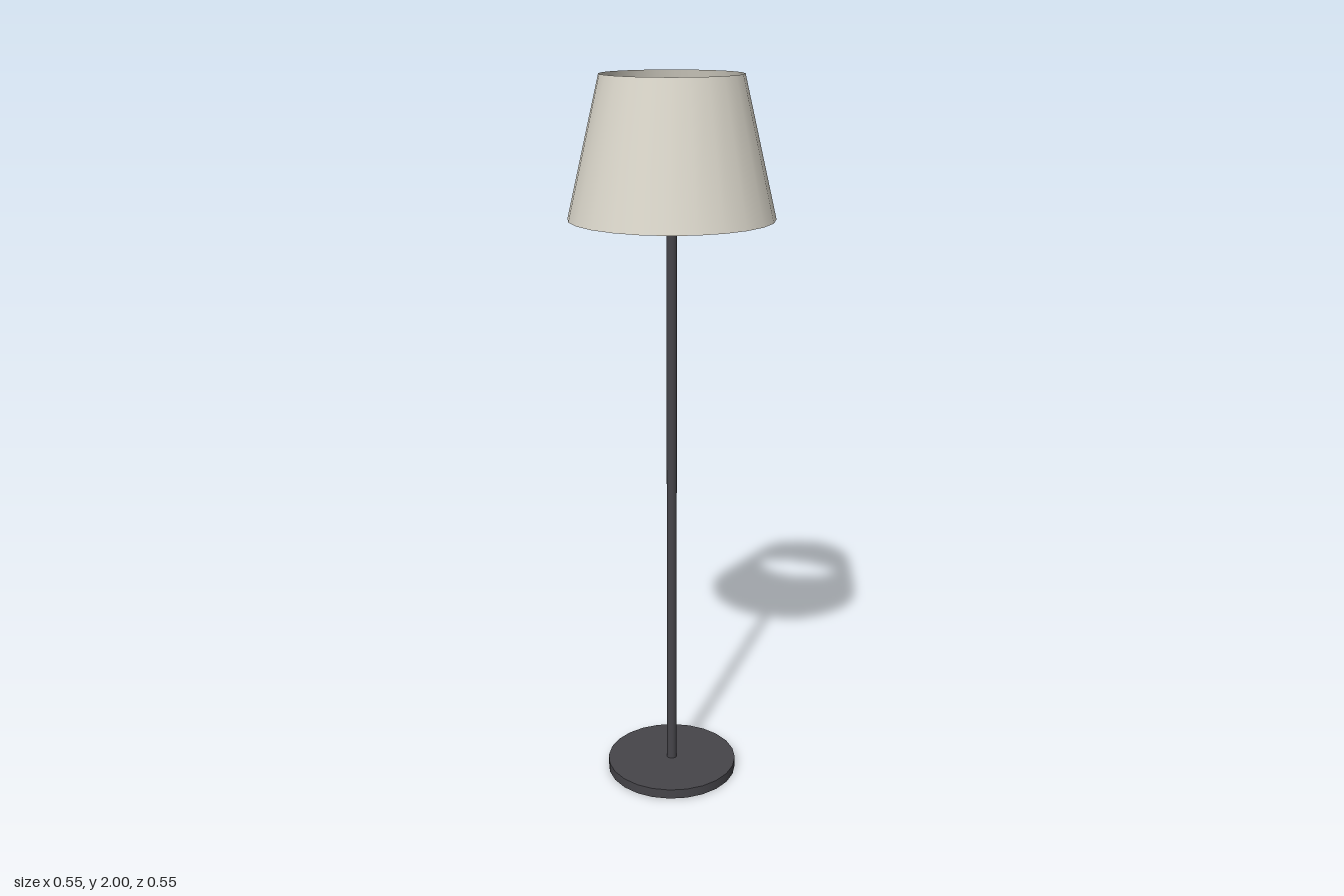
import * as THREE from 'three';

const SEGMENTS = 24;

export function createModel() {
  const group = new THREE.Group();
  group.name = 'floorLamp';

  const darkMetal = new THREE.MeshStandardMaterial({ color: 0x46454a });
  darkMetal.name = 'darkMetal';
  const creamFabric = new THREE.MeshStandardMaterial({ color: 0xdcd8cc, side: THREE.DoubleSide });
  creamFabric.name = 'creamFabric';

  // Adds a round part spanning the heights y0 to y1
  const addRound = (name, rTop, rBottom, y0, y1, material, open = false) => {
    const geometry = new THREE.CylinderGeometry(rTop, rBottom, y1 - y0, SEGMENTS, 1, open);
    const mesh = new THREE.Mesh(geometry, material);
    mesh.name = name;
    mesh.position.y = (y0 + y1) / 2;
    group.add(mesh);
  };

  // Flat disc foot
  addRound('base', 0.188, 0.188, 0, 0.028, darkMetal);
  // Slim pole ending inside the shade
  addRound('pole', 0.014, 0.014, 0.028, 1.72, darkMetal);
  // Thin tapered shade, open at both ends
  addRound('shade', 0.188, 0.275, 1.63, 2, creamFabric, true);

  return group;
}
